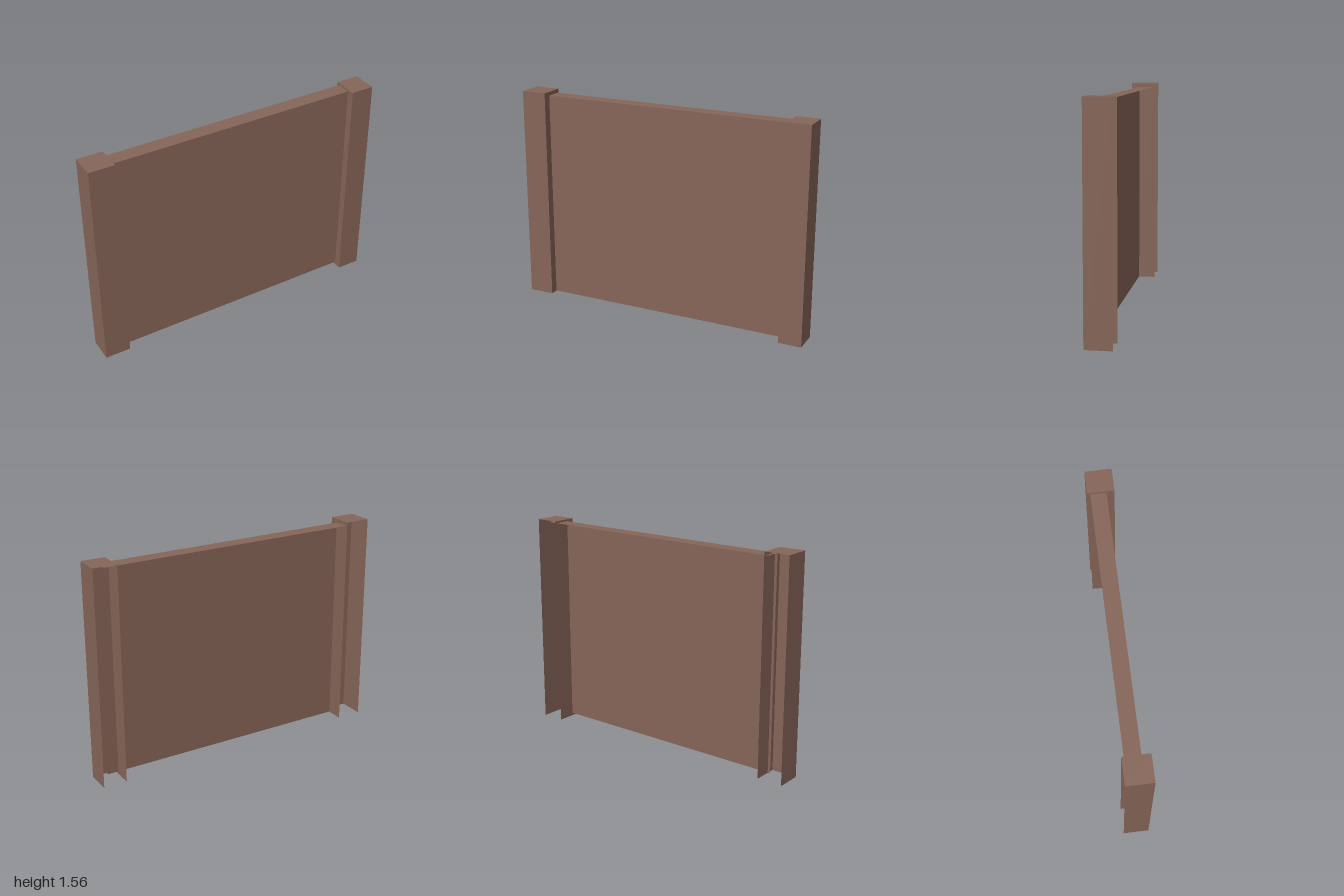
import * as THREE from 'three';

// Box side indices in BoxGeometry order
const FRONT = 0, TOP = 2, END_A = 4, END_B = 5;

// Box shell made of only the listed sides
function shell(name, material, sides, [x0, x1], [y0, y1], [z0, z1]) {
  const geo = new THREE.BoxGeometry(x1 - x0, y1 - y0, z1 - z0);
  const all = Array.from(geo.index.array);
  geo.setIndex(sides.flatMap((s) => all.slice(s * 6, s * 6 + 6)));
  geo.clearGroups();
  const mesh = new THREE.Mesh(geo, material);
  mesh.name = name;
  mesh.position.set((x0 + x1) / 2, (y0 + y1) / 2, (z0 + z1) / 2);
  return mesh;
}

export function createModel() {
  const brown = new THREE.MeshStandardMaterial({ color: 0x866558, side: THREE.DoubleSide });
  brown.name = 'brown';

  const model = new THREE.Group();
  model.name = 'wallSection';

  // Wall runs along local z, turned diagonally across the ground
  const wall = new THREE.Group();
  wall.name = 'wall';
  wall.rotation.y = -0.495;
  model.add(wall);

  // Posts and panel are open at the back and underneath
  const postSides = [FRONT, TOP, END_A, END_B];
  wall.add(
    shell('nearPost', brown, postSides, [-0.092, 0.092], [0.018, 1.562], [0.898, 1.082]),
    shell('farPost', brown, postSides, [-0.097, 0.087], [0, 1.55], [-1.086, -0.918]),
    shell('panel', brown, [FRONT, TOP], [-0.077, 0.032], [0.02, 1.535], [-1.0, 0.917]),
  );
  return model;
}
